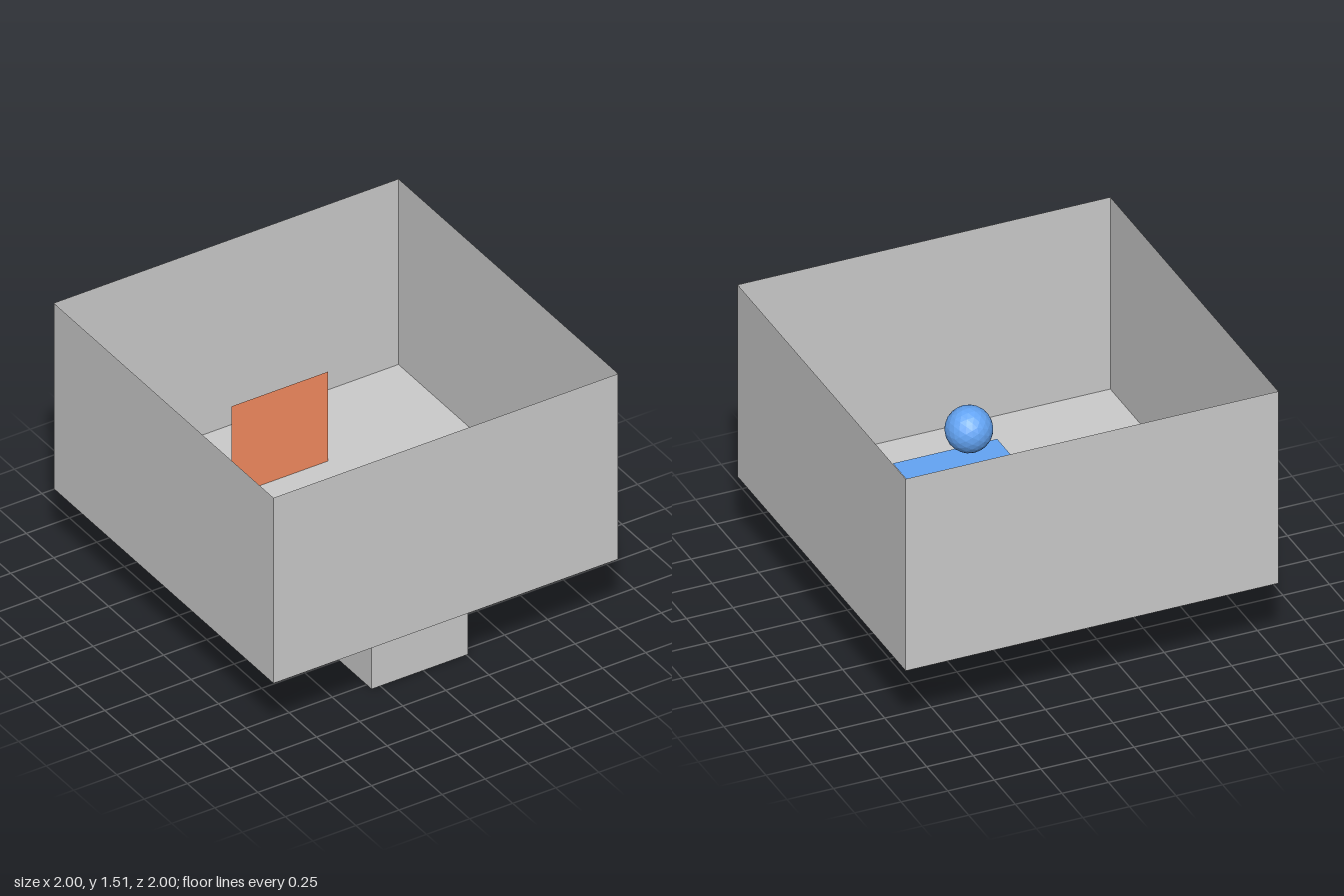
import * as THREE from 'three';

const LOWER = 0xdadbde, UPPER = 0xcccccc, BLUE = 0x64a5f5, ORANGE = 0xf48b60;
const FLOOR = 0.41, BAND = 0.78, TOP = 1.51;

const paint = (color, side = THREE.FrontSide) =>
  new THREE.MeshStandardMaterial({ color, side, flatShading: true });

export function createModel() {
  const model = new THREE.Group();
  const add = (name, geometry, material, x, y, z, parent = model) => {
    const mesh = new THREE.Mesh(geometry, material);
    mesh.name = name;
    mesh.position.set(x, y, z);
    parent.add(mesh);
    return mesh;
  };
  const lower = paint(LOWER, THREE.DoubleSide);
  const upper = paint(UPPER, THREE.DoubleSide);

  // Room: floor and four thin walls, each in a lower and an upper band
  add('floor', new THREE.PlaneGeometry(2, 2).rotateX(-Math.PI / 2), lower, 0, FLOOR, 0);
  ['frontWall', 'leftWall', 'backWall', 'rightWall'].forEach((name, i) => {
    const wall = new THREE.Group();
    wall.name = name;
    wall.rotation.y = i * Math.PI / 2;
    model.add(wall);
    add('lowerBand', new THREE.PlaneGeometry(2, BAND - FLOOR), lower, 0, (FLOOR + BAND) / 2, 1, wall);
    add('upperBand', new THREE.PlaneGeometry(2, TOP - BAND), upper, 0, (BAND + TOP) / 2, 1, wall);
  });

  // Block hanging under the floor
  add('block', new THREE.BoxGeometry(0.56, FLOOR, 0.56), paint(LOWER), -0.02, FLOOR / 2, 0.515);

  // Blue floor panel with a ball floating above it
  add('floorPanel', new THREE.PlaneGeometry(0.56, 0.56).rotateX(-Math.PI / 2), paint(BLUE), -0.02, FLOOR + 0.004, 0.515);
  add('ball', new THREE.IcosahedronGeometry(0.12, 3), paint(BLUE), -0.02, 0.7, 0.51);

  // Upright orange panel, seen from the front only
  add('uprightPanel', new THREE.PlaneGeometry(0.56, 0.53), paint(ORANGE), -0.02, 0.675, -0.48);

  return model;
}
